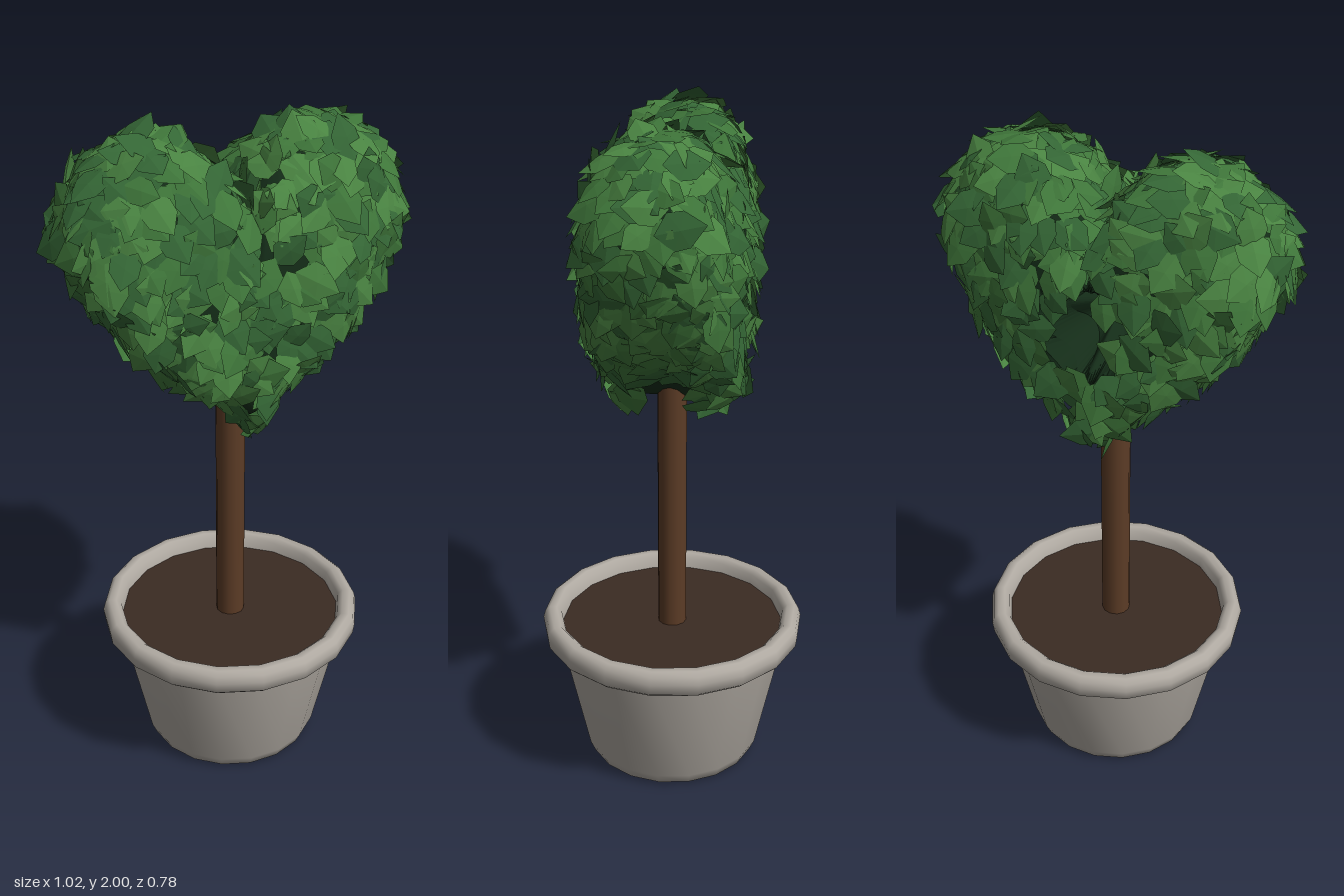
import * as THREE from 'three';
import { mergeGeometries, toCreasedNormals } from 'three/addons/utils/BufferGeometryUtils.js';

const V = (x, y, z) => new THREE.Vector3(x, y, z);
const CENTRE = V(0, 1.5, 0);
const HALF_DEPTH = 0.21;

function makeRandom(seed) {
  return () => {
    seed = (seed * 1664525 + 1013904223) % 4294967296;
    return seed / 4294967296;
  };
}

function addMesh(parent, name, geometry, color, side = THREE.FrontSide) {
  const mesh = new THREE.Mesh(geometry, new THREE.MeshStandardMaterial({ color, side }));
  mesh.name = name;
  parent.add(mesh);
}

// Heart outline, clockwise from the cleft
function heartOutline() {
  const half = [[0.04, 1.84], [0.12, 1.915], [0.25, 1.955], [0.4, 1.89], [0.475, 1.72], [0.4, 1.52], [0.24, 1.34], [0.08, 1.21]];
  const points = [
    V(0, 1.76, 0),
    ...half.map(([x, y]) => V(x, y, 0)),
    V(0, 1.13, 0),
    ...half.map(([x, y]) => V(-x, y, 0)).reverse(),
  ];
  return new THREE.CatmullRomCurve3(points, true, 'centripetal');
}

// Rows of points running from the middle of the front, round the rim, to the middle of the back
function heartGrid(columns, rows) {
  const curve = heartOutline();
  const grid = [];
  for (let i = 0; i <= columns; i++) {
    const edge = curve.getPoint(i / columns);
    const power = 2 / THREE.MathUtils.mapLinear(edge.y, 1.13, 1.95, 5, 2.5);
    const column = [];
    for (let j = 0; j <= rows; j++) {
      const a = (j / rows) * Math.PI;
      const p = CENTRE.clone().lerp(edge, Math.abs(Math.sin(a)) ** power);
      p.z = Math.sign(Math.cos(a)) * HALF_DEPTH * Math.abs(Math.cos(a)) ** power;
      column.push(p);
    }
    grid.push(column);
  }
  return grid;
}

// Both triangles of every grid cell, facing outwards
function gridTriangles(grid) {
  const triangles = [];
  for (let i = 0; i < grid.length - 1; i++) {
    for (let j = 0; j < grid[0].length - 1; j++) {
      const a = grid[i][j], b = grid[i + 1][j], c = grid[i + 1][j + 1], d = grid[i][j + 1];
      triangles.push([a, b, c], [a, c, d]);
    }
  }
  return triangles;
}

// Dark inner body, slightly smaller than the leaf shell, with a hollow in the back
function coreGeometry(triangles) {
  const points = triangles.flat().map((p) => {
    const q = p.clone().sub(CENTRE).multiplyScalar(0.9).add(CENTRE);
    const r = Math.hypot(q.x, q.y - CENTRE.y);
    if (q.z < 0) q.z += 0.25 * (1 - THREE.MathUtils.smoothstep(r, 0.05, 0.14));
    return q;
  });
  const g = new THREE.BufferGeometry().setFromPoints(points);
  g.computeVertexNormals();
  return g;
}

// One pointed leaf of unit length, folded gently along its middle
function leafGeometry() {
  const points = [V(0, 0, 0), V(0.36, 0.3, -0.05), V(0.34, 0.62, -0.05), V(0, 1, -0.03),
    V(-0.34, 0.62, -0.05), V(-0.36, 0.3, -0.05), V(0, 0.5, 0.01)];
  const corners = [];
  for (let i = 0; i < 6; i++) corners.push(points[6], points[i], points[(i + 1) % 6]);
  const g = new THREE.BufferGeometry().setFromPoints(corners);
  g.computeVertexNormals();
  return g;
}

// Scatter leaves evenly over the heart, sorted into shades
function scatterLeaves(triangles, shades, areaPerLeaf) {
  const random = makeRandom(77);
  const leaf = leafGeometry();
  const sets = shades.map(() => []);
  const m = new THREE.Matrix4();
  const triangle = new THREE.Triangle();
  const n = V(0, 0, 0);
  let carried = 0;
  for (const [a, b, c] of triangles) {
    triangle.set(a, b, c);
    const area = triangle.getArea();
    if (area < 1e-9) continue;
    triangle.getNormal(n);
    carried += area * (0.5 + random());
    while (carried > areaPerLeaf) {
      carried -= areaPerLeaf;
      let u = random(), v = random();
      if (u + v > 1) { u = 1 - u; v = 1 - v; }
      const p = a.clone().addScaledVector(b.clone().sub(a), u).addScaledVector(c.clone().sub(a), v);
      // Bare patches: the hollow in the back, and around the trunk
      if (p.z < 0 && Math.hypot(p.x, p.y - CENTRE.y) < 0.11) continue;
      if (p.y < 1.24 && Math.abs(p.z) < 0.085) continue;
      const size = 0.1 + 0.04 * random();
      const tilt = 0.04 + 0.4 * random();
      const along = V(random() - 0.5, random() - 0.75, random() - 0.5).projectOnPlane(n).normalize();
      const y = along.clone().multiplyScalar(Math.cos(tilt)).addScaledVector(n, Math.sin(tilt));
      const z = n.clone().multiplyScalar(Math.cos(tilt)).addScaledVector(along, -Math.sin(tilt));
      p.addScaledVector(along, -size * 0.45).addScaledVector(n, -0.008);
      m.makeBasis(V(0, 0, 0).crossVectors(y, z), y, z).scale(V(size, size, size)).setPosition(p);
      sets[Math.floor(random() * shades.length)].push(leaf.clone().applyMatrix4(m));
    }
  }
  return sets.map((set) => mergeGeometries(set));
}

export function createModel() {
  const model = new THREE.Group();

  // Pot, open underneath, with a rolled rim
  const profile = [[0.246, 0], [0.258, 0.008], [0.272, 0.04], [0.348, 0.395], [0.378, 0.395], [0.392, 0.408],
    [0.396, 0.44], [0.39, 0.462], [0.376, 0.474], [0.355, 0.474], [0.34, 0.46], [0.333, 0.42]];
  const pot = new THREE.LatheGeometry(profile.map(([x, y]) => new THREE.Vector2(x, y)), 18);
  pot.rotateY(Math.PI / 2);
  addMesh(model, 'pot', toCreasedNormals(pot, 1.1), 0xb0aaa2, THREE.DoubleSide);

  // Soil
  const soil = new THREE.CircleGeometry(0.335, 18).rotateX(-Math.PI / 2).translate(0, 0.43, 0);
  addMesh(model, 'soil', soil, 0x3b2b23);

  // Trunk
  const trunk = new THREE.CylinderGeometry(0.043, 0.043, 0.8, 12).translate(0, 0.82, 0);
  addMesh(model, 'trunk', trunk, 0x5c3c26);

  // Heart-shaped foliage
  const foliage = new THREE.Group();
  foliage.name = 'foliage';
  model.add(foliage);
  const triangles = gridTriangles(heartGrid(96, 40));
  addMesh(foliage, 'foliageCore', coreGeometry(triangles), 0x142c18);
  const shades = [0x346635, 0x3e7539, 0x498341];
  scatterLeaves(triangles, shades, 0.0021).forEach((g, i) => {
    addMesh(foliage, 'leaves' + (i + 1), g, shades[i], THREE.DoubleSide);
  });

  return model;
}
